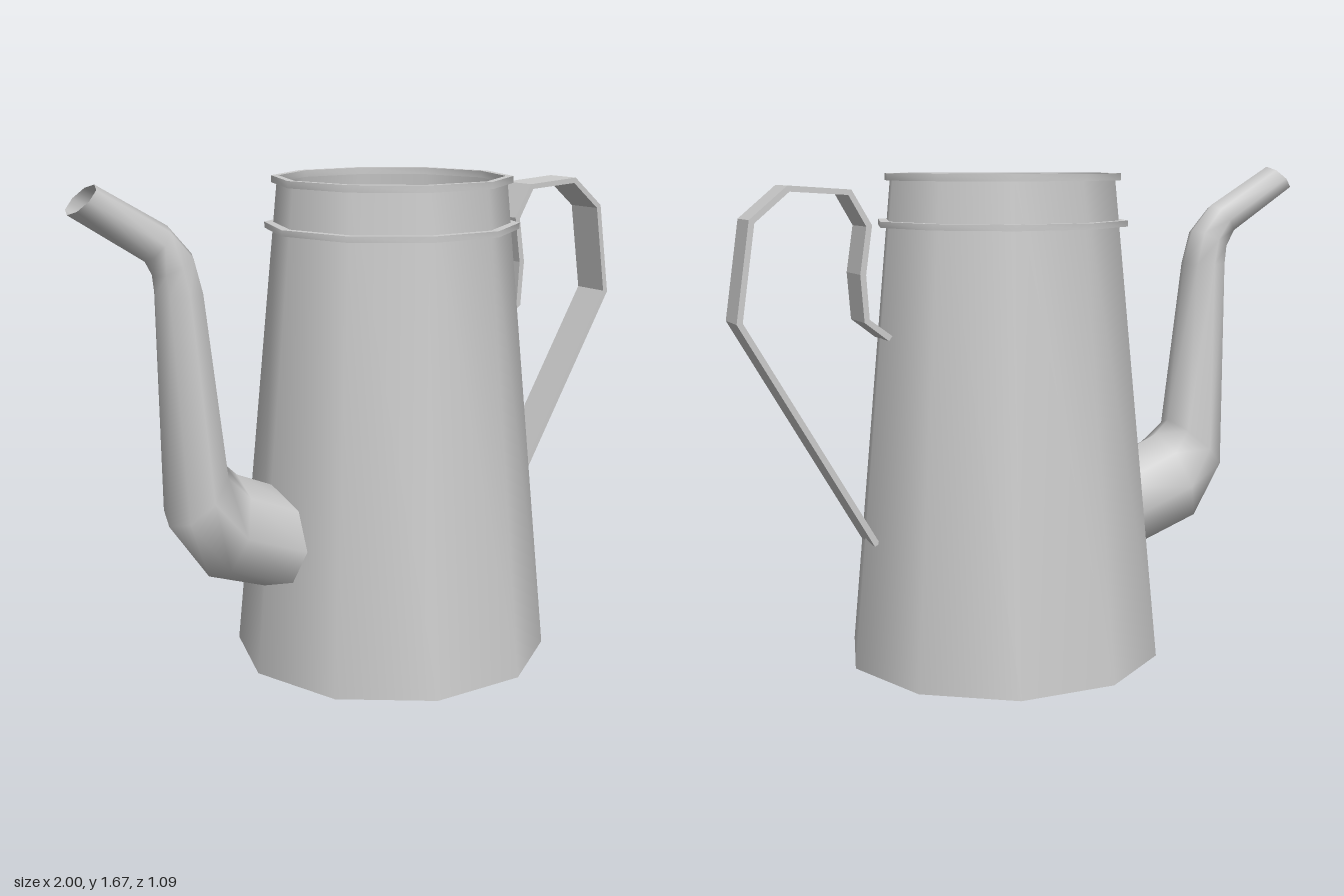
import * as THREE from 'three';
import { toCreasedNormals } from 'three/addons/utils/BufferGeometryUtils.js';

const TURN = 0.334;   // spout and handle lie in one plane, turned about y
const CENTRE = 0.098; // x of the body axis
const material = new THREE.MeshStandardMaterial({ color: 0xcccccc, side: THREE.DoubleSide });

// Sideways position measured from the front -> distance along the turned plane
const along = (x) => (x - CENTRE) / Math.cos(TURN);

function addMesh(parent, name, geometry) {
  const mesh = new THREE.Mesh(geometry, material);
  mesh.name = name;
  parent.add(mesh);
}

// Ten-sided turned part with one corner on the handle line
function turned(profile) {
  const points = profile.map(([r, y]) => new THREE.Vector2(r, y));
  return toCreasedNormals(new THREE.LatheGeometry(points, 10, Math.PI / 2), 0.75);
}

const band = (ri, ro, y0, y1) => turned([[ri, y0], [ro, y0], [ro, y1], [ri, y1], [ri, y0]]);

// Open tube through rings, each given by its lower and upper edge point
function ringTube(rings, sides) {
  const positions = [], index = [];
  rings.forEach(([x0, y0, x1, y1], i) => {
    const a = new THREE.Vector2(along(x0), y0), b = new THREE.Vector2(along(x1), y1);
    const centre = a.clone().add(b).multiplyScalar(0.5);
    const up = b.clone().sub(a).multiplyScalar(0.5);
    const radius = up.length();
    for (let j = 0; j < sides; j++) {
      const t = (j / sides) * Math.PI * 2, c = Math.cos(t);
      positions.push(centre.x + up.x * c, centre.y + up.y * c, radius * Math.sin(t));
      if (i === 0) continue;
      const k = (j + 1) % sides, p = (i - 1) * sides, q = i * sides;
      index.push(p + j, p + k, q + j, p + k, q + k, q + j);
    }
  });
  const geometry = new THREE.BufferGeometry();
  geometry.setAttribute('position', new THREE.Float32BufferAttribute(positions, 3));
  geometry.setIndex(index);
  geometry.computeVertexNormals();
  return geometry;
}

// Flat strap of constant thickness following a polyline
function strap(path, thickness, width) {
  const pts = path.map(([x, y]) => new THREE.Vector2(along(x), y));
  const side = (sign) => pts.map((p, i) => {
    const before = p.clone().sub(pts[Math.max(i - 1, 0)]).normalize();
    const after = pts[Math.min(i + 1, pts.length - 1)].clone().sub(p).normalize();
    const dir = before.add(after).normalize();
    return new THREE.Vector2(p.x - dir.y * sign * thickness / 2, p.y + dir.x * sign * thickness / 2);
  });
  const shape = new THREE.Shape([...side(1), ...side(-1).reverse()]);
  const geometry = new THREE.ExtrudeGeometry(shape, { depth: width, bevelEnabled: false });
  return geometry.translate(0, 0, -width / 2);
}

export function createModel() {
  const model = new THREE.Group();
  model.name = 'wateringPot';
  const pot = new THREE.Group();
  pot.name = 'pot';
  pot.position.x = CENTRE;
  pot.rotation.y = TURN;
  model.add(pot);

  // Tapered wall, open at both ends
  addMesh(pot, 'body', turned([[0.545, 0], [0.386, 1.64]]));
  addMesh(pot, 'collar', band(0.385, 0.43, 1.48, 1.5));
  addMesh(pot, 'topRim', band(0.38, 0.405, 1.632, 1.655));

  // Spout from its root inside the wall up to the open tip
  addMesh(pot, 'spout', ringTube([
    [-0.355, 0.298, -0.25, 0.61],
    [-0.585, 0.385, -0.48, 0.715],
    [-0.715, 0.58, -0.53, 0.765],
    [-0.735, 1.33, -0.585, 1.33],
    [-0.74, 1.385, -0.615, 1.45],
    [-0.765, 1.435, -0.69, 1.54],
    [-0.995, 1.59, -0.91, 1.675],
  ], 8));

  // Bent strap handle
  addMesh(pot, 'handle', strap([
    [0.5, 1.125], [0.575, 1.185], [0.585, 1.335], [0.563, 1.49], [0.622, 1.597],
    [0.81, 1.61], [0.923, 1.51], [0.968, 1.195], [0.555, 0.44],
  ], 0.02, 0.137));

  return model;
}
